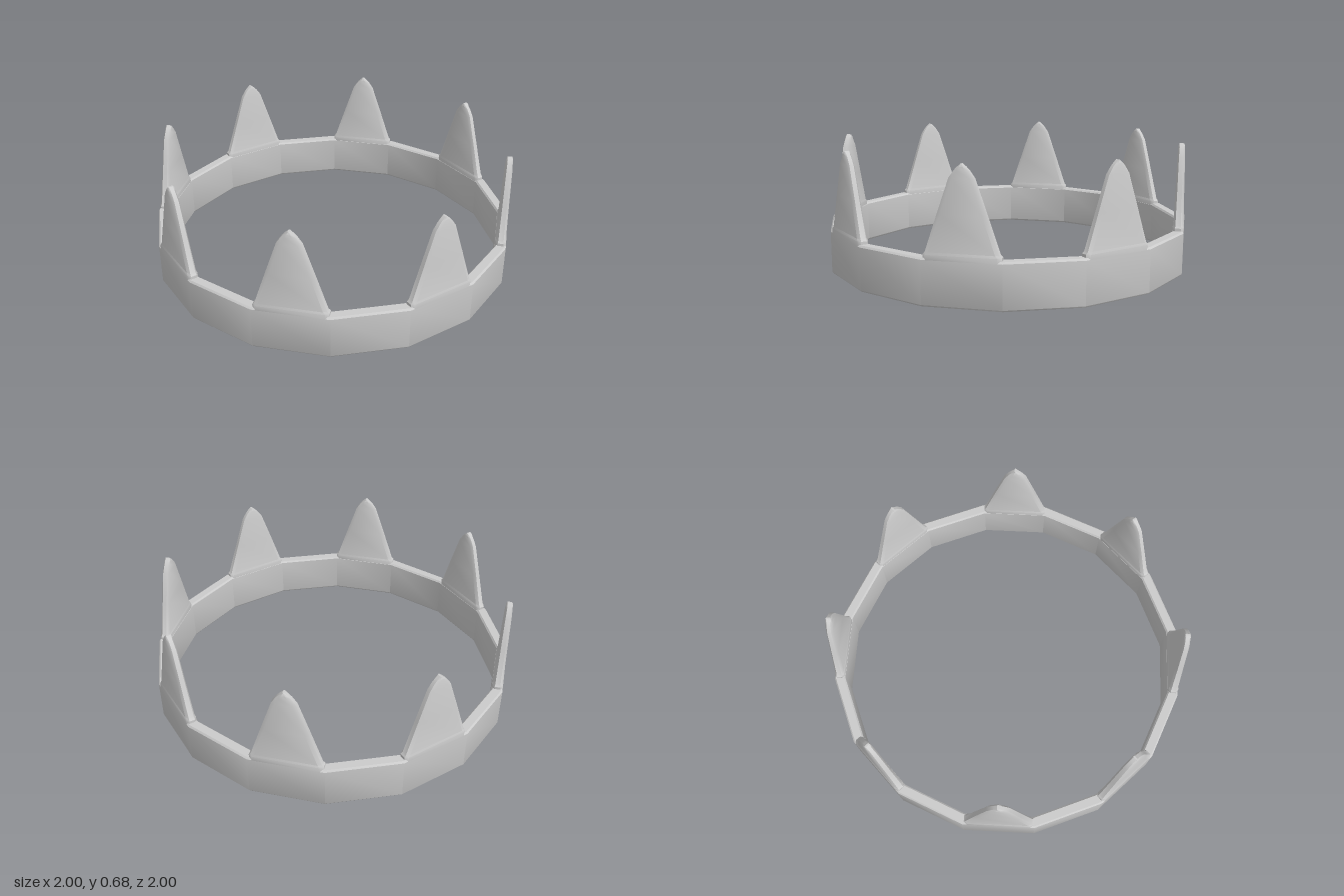
import * as THREE from 'three';
import { toCreasedNormals } from 'three/addons/utils/BufferGeometryUtils.js';

const SIDES = 16;
const material = new THREE.MeshStandardMaterial({ color: 0xcccccc });

// Band: 16-sided ring with small bevels, smooth around its circumference
function bandGeometry() {
  const profile = [
    [0.948, 0], [0.994, 0], [1, 0.008], [1, 0.226], [0.992, 0.235],
    [0.948, 0.235], [0.94, 0.226], [0.94, 0.01], [0.948, 0],
  ].map(([r, y]) => new THREE.Vector2(r, y));
  return toCreasedNormals(new THREE.LatheGeometry(profile, SIDES), 0.7);
}

// Spike: flat tapering blade lofted through chamfered rectangles
function spikeGeometry() {
  // height, half width, half thickness
  const levels = [
    [0.225, 0.188, 0.029], [0.25, 0.188, 0.028], [0.262, 0.177, 0.025],
    [0.44, 0.118, 0.022], [0.61, 0.06, 0.02], [0.645, 0.036, 0.018],
    [0.662, 0.02, 0.017], [0.675, 0.005, 0.013],
  ];
  const positions = [], index = [], n = 8;
  for (const [y, w, t] of levels) {
    const c = w - Math.min(0.018, w * 0.5), h = t * 0.55;
    const loop = [[c, t], [w, h], [w, -h], [c, -t], [-c, -t], [-w, -h], [-w, h], [-c, t]];
    for (const [x, z] of loop) positions.push(x, y, z);
  }
  for (let i = 0; i < levels.length - 1; i++) {
    for (let j = 0; j < n; j++) {
      const a = i * n + j, b = i * n + (j + 1) % n;
      index.push(a, b, a + n, b, b + n, a + n);
    }
  }
  // tip cap
  const top = (levels.length - 1) * n;
  for (let j = 1; j < n - 1; j++) index.push(top, top + j, top + j + 1);

  const geometry = new THREE.BufferGeometry();
  geometry.setAttribute('position', new THREE.Float32BufferAttribute(positions, 3));
  geometry.setIndex(index);
  return toCreasedNormals(geometry, 0.7);
}

export function createModel() {
  const crown = new THREE.Group();
  crown.name = 'crown';

  const band = new THREE.Mesh(bandGeometry(), material);
  band.name = 'band';
  crown.add(band);

  // One spike on every second side of the band
  const geometry = spikeGeometry();
  const step = (Math.PI * 2) / SIDES;
  for (let i = 0; i < SIDES; i += 2) {
    const angle = (i - 0.5) * step;
    const spike = new THREE.Mesh(geometry, material);
    spike.name = `spike${i / 2 + 1}`;
    spike.position.set(Math.sin(angle) * 0.952, 0, Math.cos(angle) * 0.952);
    spike.rotation.y = angle;
    crown.add(spike);
  }
  return crown;
}
